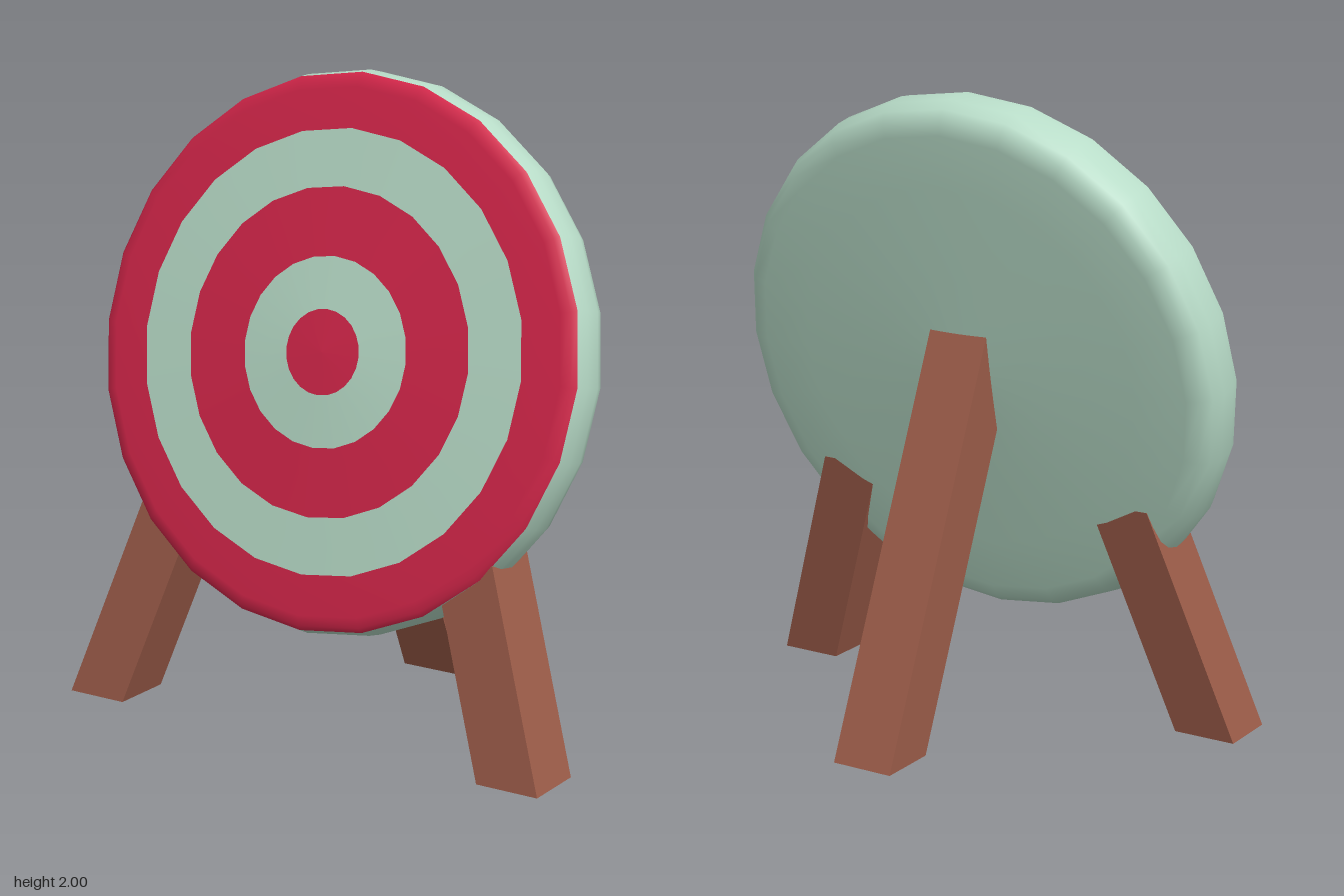
import * as THREE from 'three';

const SIDES = 24;

export function createModel() {
  const red = new THREE.MeshStandardMaterial({ color: 0xd4264a });
  red.name = 'targetRed';
  const pale = new THREE.MeshStandardMaterial({ color: 0xb8dcc8 });
  pale.name = 'paleGreen';
  const brown = new THREE.MeshStandardMaterial({ color: 0x9c5c49 });
  brown.name = 'woodBrown';

  const model = new THREE.Group();
  model.name = 'archeryTarget';

  // Tilted disc; its local +y is the front of the target
  const disc = new THREE.Group();
  disc.name = 'disc';
  disc.position.set(0, 1.175, 0.297);
  disc.rotation.x = THREE.MathUtils.degToRad(78);
  model.add(disc);

  // Each profile runs from the back to the front as [radius, height]
  const addBand = (name, profile, material) => {
    const points = profile.map(([r, h]) => new THREE.Vector2(r, h));
    const mesh = new THREE.Mesh(new THREE.LatheGeometry(points, SIDES), material);
    mesh.name = name;
    disc.add(mesh);
  };

  // Padded back and rounded rim
  addBand('discBody', [
    [0, -0.235], [0.3, -0.225], [0.6, -0.212], [0.77, -0.203], [0.815, -0.192],
    [0.842, -0.165], [0.857, -0.12], [0.857, -0.06], [0.846, -0.018],
  ], pale);

  // Gently domed front, ring by ring
  addBand('outerRing', [[0.846, -0.018], [0.832, -0.003], [0.8, 0.002], [0.675, 0.008]], red);
  addBand('secondRing', [[0.675, 0.008], [0.5, 0.014]], pale);
  addBand('thirdRing', [[0.5, 0.014], [0.29, 0.022]], red);
  addBand('fourthRing', [[0.29, 0.022], [0.13, 0.031]], pale);
  addBand('bullseye', [[0.13, 0.031], [0, 0.035]], red);

  // Slanted square post with level ends, sheared from a box
  const addLeg = (name, x, z, height, slopeX, slopeZ) => {
    const geometry = new THREE.BoxGeometry(0.205, height, 0.2);
    geometry.translate(0, height / 2, 0);
    const p = geometry.attributes.position;
    for (let i = 0; i < p.count; i++) {
      const y = p.getY(i);
      p.setXYZ(i, p.getX(i) + x + y * slopeX, y, p.getZ(i) + z + y * slopeZ);
    }
    geometry.computeVertexNormals();
    const mesh = new THREE.Mesh(geometry, brown);
    mesh.name = name;
    model.add(mesh);
  };

  addLeg('leftFrontLeg', 0.754, 0.4, 0.74, -0.345, -0.165);
  addLeg('rightFrontLeg', -0.754, 0.4, 0.74, 0.345, -0.165);
  addLeg('backLeg', 0, -0.4, 1.3, 0, 0.434);

  return model;
}
